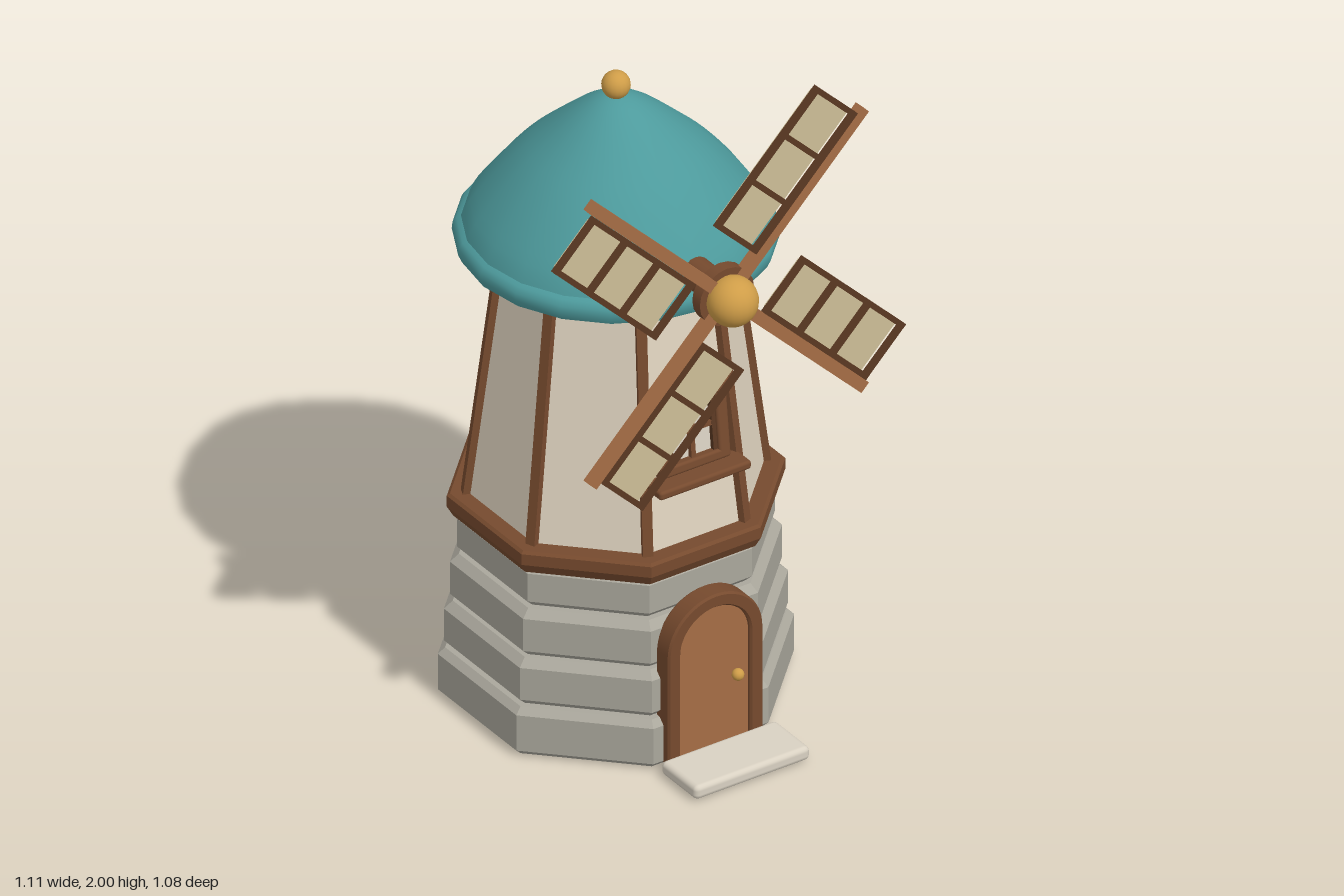
import * as THREE from 'three';
import { toCreasedNormals } from 'three/addons/utils/BufferGeometryUtils.js';
import { RoundedBoxGeometry } from 'three/addons/geometries/RoundedBoxGeometry.js';

const paint = (name, color) => {
  const m = new THREE.MeshStandardMaterial({ color });
  m.name = name;
  return m;
};
const MAT = {
  stone: paint('grey stone', 0xaaa79c),
  plaster: paint('cream plaster', 0xdfd3bf),
  timber: paint('brown timber', 0x764a2e),
  darkWood: paint('dark wood', 0x5a3822),
  lightWood: paint('light wood', 0xa56d45),
  roof: paint('teal roof', 0x4d9a9c),
  gold: paint('gold', 0xcf9d48),
  cloth: paint('sail cloth', 0xcdbe97),
  step: paint('pale stone', 0xd9d1c2),
};

const TOWER_Z = -0.1, HUB_Y = 1.44;
const OCT = 1 / Math.cos(Math.PI / 8); // flat-to-corner ratio of an octagon

function add(parent, name, geometry, material, x = 0, y = 0, z = 0) {
  const mesh = new THREE.Mesh(geometry, material);
  mesh.name = name;
  mesh.position.set(x, y, z);
  parent.add(mesh);
  return mesh;
}

const box = (w, h, d) => new THREE.BoxGeometry(w, h, d);
const rounded = (w, h, d, r) => new RoundedBoxGeometry(w, h, d, 2, r);

// Faceted eight-sided solid from [distance to flat side, height] pairs, bottom to top
function octagon(profile) {
  const points = profile.map(([a, y]) => new THREE.Vector2(a * OCT, y));
  const g = new THREE.LatheGeometry(points, 8, Math.PI / 8).toNonIndexed();
  g.computeVertexNormals();
  return g;
}

// Block ring with chamfered edges
const course = (a, y0, y1, c) => octagon([
  [0, y0], [a - c, y0], [a, y0 + c], [a, y1 - c], [a - c, y1], [0, y1],
]);

function archShape(half, bottom, spring) {
  const s = new THREE.Shape();
  s.moveTo(-half, bottom);
  s.lineTo(half, bottom);
  s.lineTo(half, spring);
  s.absarc(0, spring, half, 0, Math.PI, false);
  s.closePath();
  return s;
}

function buildTower() {
  const tower = new THREE.Group();
  tower.name = 'tower';
  tower.position.z = TOWER_Z;

  // Stone base courses
  const heights = [0, 0.145, 0.287, 0.43, 0.56];
  [0.44, 0.425, 0.41, 0.392].forEach((a, i) =>
    add(tower, 'stoneCourse', course(a, heights[i], heights[i + 1], i ? 0.022 : 0.018), MAT.stone));

  // Plaster walls and timber bands
  add(tower, 'walls', octagon([[0.37, 0.6], [0.285, 1.32]]), MAT.plaster);
  add(tower, 'lowerBand', octagon([[0, 0.55], [0.402, 0.55], [0.418, 0.58], [0.418, 0.613], [0.41, 0.62], [0, 0.62]]), MAT.timber);
  add(tower, 'upperBand', octagon([[0, 1.303], [0.317, 1.303], [0.326, 1.315], [0.326, 1.347], [0, 1.347]]), MAT.timber);

  // Leaning corner posts
  const r0 = 0.37 * OCT, r1 = 0.285 * OCT, rise = 0.72;
  for (let i = 0; i < 8; i++) {
    const corner = new THREE.Group();
    corner.name = 'cornerPost';
    corner.rotation.y = Math.PI / 8 + i * Math.PI / 4;
    const post = add(corner, 'post', box(0.028, Math.hypot(rise, r0 - r1), 0.028), MAT.timber, 0, 0.96, (r0 + r1) / 2);
    post.rotation.x = -Math.atan2(r0 - r1, rise);
    tower.add(corner);
  }

  // Roof dome, rim and finial
  const curve = new THREE.SplineCurve([[0.408, 1.41], [0.385, 1.46], [0.33, 1.535], [0.265, 1.61],
    [0.2, 1.672], [0.115, 1.745], [0.05, 1.787], [0, 1.8]].map(p => new THREE.Vector2(...p)));
  const dome = curve.getPoints(20);
  dome[20].x = 0;
  add(tower, 'roofDome', new THREE.LatheGeometry(dome, 20), MAT.roof);
  const rim = [[0, 1.346], [0.405, 1.346], [0.42, 1.352], [0.43, 1.375], [0.428, 1.395], [0.418, 1.41], [0.4, 1.418]]
    .map(p => new THREE.Vector2(...p));
  add(tower, 'roofRim', toCreasedNormals(new THREE.LatheGeometry(rim, 20), 0.7), MAT.roof);
  add(tower, 'finial', new THREE.SphereGeometry(0.039, 18, 12), MAT.gold, 0, 1.828, 0);
  return tower;
}

function buildDoor() {
  const door = new THREE.Group();
  door.name = 'door';
  // Arched surround, open at the bottom
  const s = new THREE.Shape();
  s.moveTo(0.145, 0.02);
  s.lineTo(0.145, 0.34);
  s.absarc(0, 0.34, 0.145, 0, Math.PI, false);
  s.lineTo(-0.145, 0.02);
  s.lineTo(-0.115, 0.02);
  s.lineTo(-0.115, 0.34);
  s.absarc(0, 0.34, 0.115, Math.PI, 0, true);
  s.lineTo(0.115, 0.02);
  s.closePath();
  const frame = new THREE.ExtrudeGeometry(s, {
    depth: 0.05, bevelThickness: 0.006, bevelSize: 0.005, bevelSegments: 1, curveSegments: 16,
  });
  add(door, 'doorFrame', toCreasedNormals(frame, 0.5), MAT.timber, 0, 0, 0.309);
  const panel = new THREE.ExtrudeGeometry(archShape(0.116, 0.02, 0.34), { depth: 0.035, bevelEnabled: false, curveSegments: 16 });
  add(door, 'doorPanel', toCreasedNormals(panel, 0.5), MAT.lightWood, 0, 0, 0.316);
  add(door, 'doorKnob', new THREE.SphereGeometry(0.017, 14, 10), MAT.gold, 0.06, 0.23, 0.378);
  add(door, 'doorStep', rounded(0.365, 0.042, 0.165, 0.015), MAT.step, 0, 0.026, 0.455);
  return door;
}

function buildWindow() {
  const win = new THREE.Group();
  win.name = 'window';
  win.position.set(0, 0.935, 0.231);
  win.rotation.x = -Math.atan2(0.085, 0.72);
  add(win, 'windowPane', box(0.19, 0.2, 0.008), MAT.step, 0, 0, 0.004);
  for (const side of [-1, 1]) {
    add(win, 'windowJamb', rounded(0.036, 0.21, 0.036, 0.008), MAT.timber, side * 0.093, 0, 0.014);
    add(win, 'windowInnerBar', box(0.014, 0.19, 0.022), MAT.darkWood, side * 0.07, 0, 0.011);
  }
  add(win, 'windowHead', rounded(0.25, 0.034, 0.042, 0.01), MAT.timber, 0, 0.107, 0.017);
  add(win, 'windowFoot', rounded(0.22, 0.03, 0.036, 0.008), MAT.timber, 0, -0.09, 0.014);
  add(win, 'mullion', box(0.014, 0.19, 0.022), MAT.timber, 0, 0, 0.011);
  add(win, 'transom', box(0.16, 0.014, 0.02), MAT.timber, 0, 0.005, 0.011);
  const sill = add(win, 'windowSill', rounded(0.29, 0.026, 0.08, 0.009), MAT.timber, 0, -0.122, 0.034);
  sill.rotation.x = -win.rotation.x;
  return win;
}

function buildSails() {
  const sails = new THREE.Group();
  sails.name = 'sails';
  sails.position.y = HUB_Y;
  // Axle and hub
  add(sails, 'axle', new THREE.CylinderGeometry(0.045, 0.045, 0.2, 18).rotateX(Math.PI / 2), MAT.timber, 0, 0, 0.29);
  add(sails, 'hubDisc', new THREE.CylinderGeometry(0.086, 0.086, 0.035, 20).rotateX(Math.PI / 2), MAT.timber, 0, 0, 0.397);
  add(sails, 'hubCap', new THREE.SphereGeometry(0.07, 24, 16), MAT.gold, 0, 0, 0.44);

  // Four lattice blades, each drawn along +x
  const u0 = 0.135, u1 = 0.59, v0 = 0.018, v1 = 0.198, t = 0.015;
  const uMid = (u0 + u1) / 2, vMid = (v0 + v1) / 2;
  for (let i = 0; i < 4; i++) {
    const blade = new THREE.Group();
    blade.name = 'blade';
    blade.rotation.z = Math.PI / 4 + i * Math.PI / 2;
    add(blade, 'spar', box(0.61, 0.034, 0.026), MAT.lightWood, 0.305, 0, 0.411);
    add(blade, 'sailCloth', box(u1 - u0 - 0.026, v1 - v0 - 0.026, 0.008), MAT.cloth, uMid, vMid, 0.403);
    for (const v of [v0 + t / 2, v1 - t / 2])
      add(blade, 'sailRail', box(u1 - u0, t, 0.016), MAT.darkWood, uMid, v, 0.422);
    for (let k = 0; k < 4; k++) {
      const u = u0 + t / 2 + k * (u1 - u0 - t) / 3;
      add(blade, 'sailBar', box(t, v1 - v0 - t, 0.015), MAT.darkWood, u, vMid, 0.422);
    }
    sails.add(blade);
  }
  return sails;
}

export function createModel() {
  const model = new THREE.Group();
  model.name = 'windmill';
  model.add(buildTower(), buildDoor(), buildWindow(), buildSails());
  return model;
}
